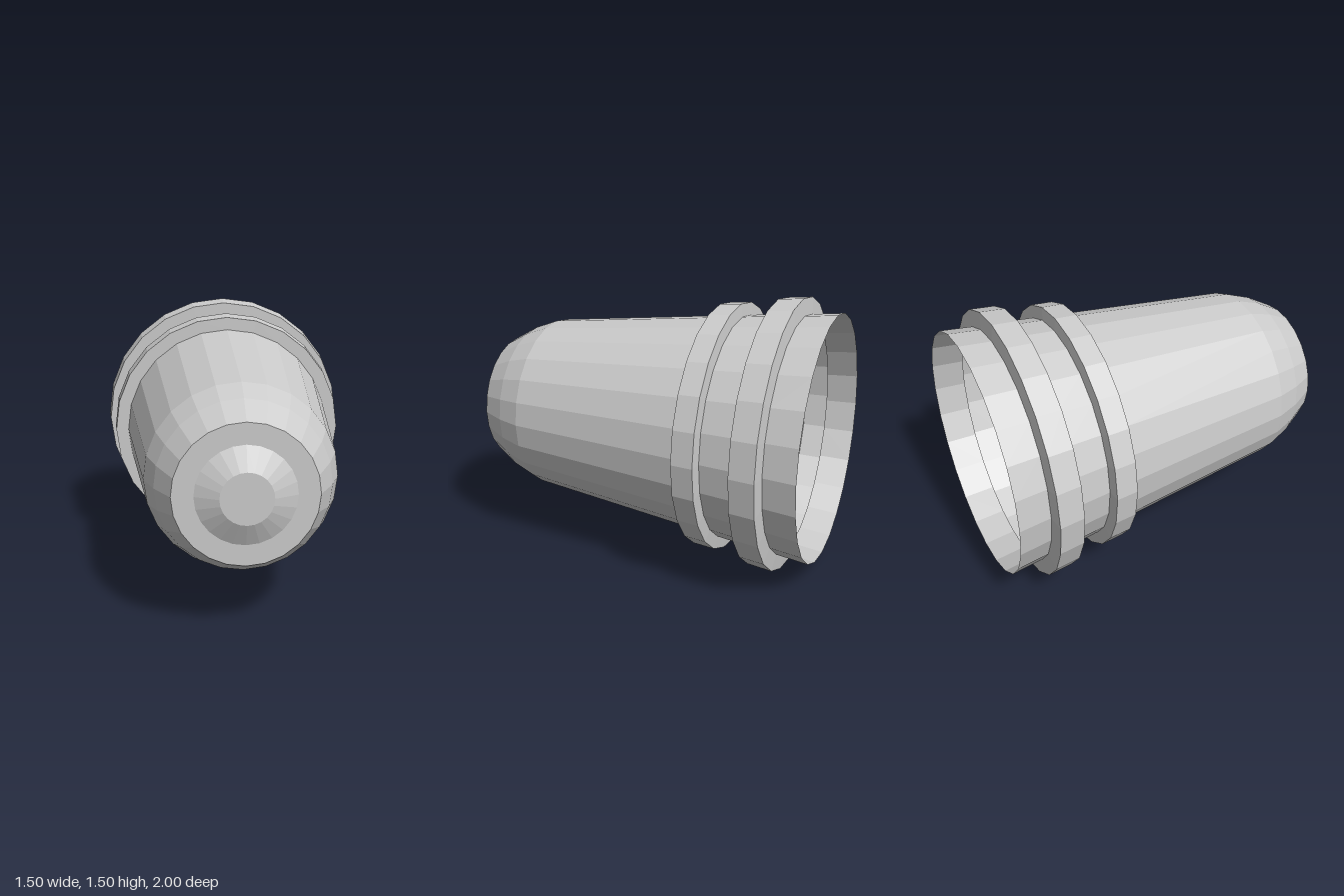
import * as THREE from 'three';

const SIDES = 24;
const AXIS_HEIGHT = 0.748;

export function createModel() {
  const model = new THREE.Group();
  model.name = 'taperedCup';

  const material = new THREE.MeshStandardMaterial({
    color: 0xcccccc,
    flatShading: true,
    side: THREE.DoubleSide,
  });

  // Turns a thin shell section from [radius, z] pairs, listed back to front
  function addSection(name, profile) {
    const points = profile.map(([r, z]) => new THREE.Vector2(r, z));
    const geometry = new THREE.LatheGeometry(points, SIDES).toNonIndexed();
    geometry.rotateX(Math.PI / 2);
    geometry.computeVertexNormals();
    const mesh = new THREE.Mesh(geometry, material);
    mesh.name = name;
    mesh.position.y = AXIS_HEIGHT;
    model.add(mesh);
  }

  // Open rim at the back
  addSection('rim', [[0.676, -1], [0.656, -0.826]]);

  // Large hollow collar with a slightly sloped back face
  addSection('largeCollar', [[0.656, -0.826], [0.748, -0.816], [0.734, -0.68], [0.643, -0.68]]);

  // Band between the collars
  addSection('neck', [[0.643, -0.68], [0.622, -0.488]]);

  // Small hollow collar
  addSection('smallCollar', [[0.622, -0.488], [0.692, -0.48], [0.682, -0.36], [0.608, -0.36]]);

  // Long tapered wall
  addSection('body', [[0.608, -0.36], [0.495, 0.66]]);

  // Rounded shoulder and flat front ring
  addSection('shoulder', [[0.495, 0.66], [0.443, 0.8], [0.361, 0.945], [0.252, 0.945]]);

  // Blunt cone closing the front
  addSection('nose', [[0.252, 0.945], [0.132, 1], [0, 1]]);

  return model;
}
